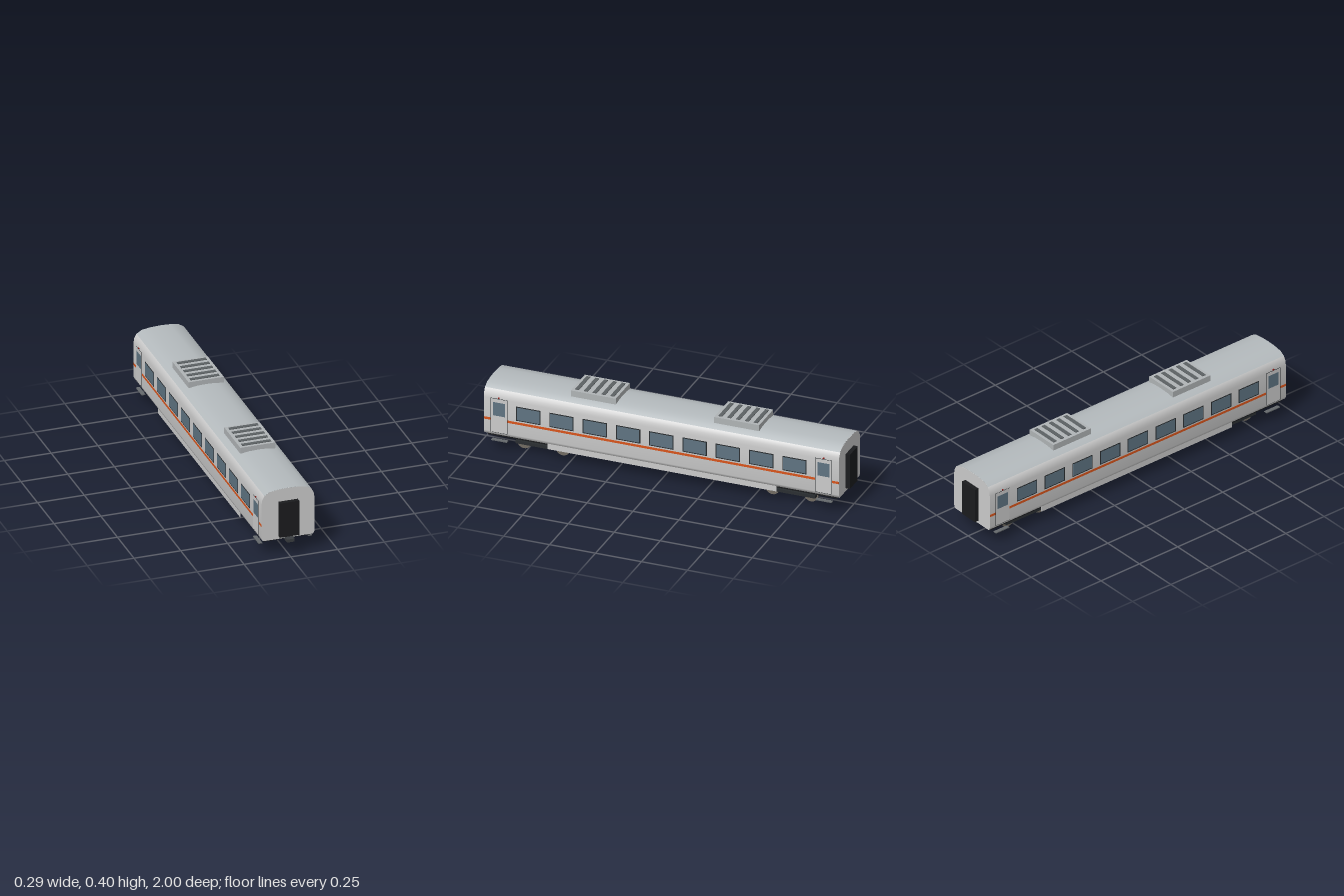
import * as THREE from 'three';
import { toCreasedNormals } from 'three/addons/utils/BufferGeometryUtils.js';

const mat = (color) => new THREE.MeshStandardMaterial({ color, side: THREE.DoubleSide });
const M = {
  body: mat(0xcccccc), roof: mat(0xb4babd), unit: mat(0xb0b4b6), slat: mat(0x5c6164),
  dark: mat(0x1b1c1e), frame: mat(0x2a2e31), steel: mat(0x716b62), coupler: mat(0x3a3d40),
  glass: mat(0x5f7482), stripe: mat(0xd9551c), lamp: mat(0x8c1a16), step: mat(0x666a6d),
};
const MID = -0.009, LENGTH = 1.932, SIDE = 0.142;

function add(parent, name, geometry, material, x = 0, y = 0, z = 0) {
  const mesh = new THREE.Mesh(geometry, material);
  mesh.name = name;
  mesh.position.set(x, y, z);
  parent.add(mesh);
  return mesh;
}

// Box given by its centre and size
function box(parent, name, material, [x, y, z], [w, h, d]) {
  return add(parent, name, new THREE.BoxGeometry(w, h, d), material, x, y, z);
}

// Right half of a section mirrored and extruded along the car
function extrude(half, length) {
  const pts = half.concat(half.slice().reverse().filter(p => p[0] > 0).map(([x, y]) => [-x, y]));
  const shape = new THREE.Shape(pts.map(p => new THREE.Vector2(...p)));
  const geo = new THREE.ExtrudeGeometry(shape, { depth: length, bevelEnabled: false });
  geo.translate(0, 0, MID - length / 2);
  return toCreasedNormals(geo, 0.6);
}

function bogie(z) {
  const g = new THREE.Group();
  g.name = 'bogie';
  g.position.z = z;
  box(g, 'bolster', M.frame, [0, 0.065, 0], [0.16, 0.03, 0.25]);
  box(g, 'crossBeam', M.frame, [0, 0.05, 0], [0.13, 0.03, 0.06]);
  for (const s of [-1, 1]) {
    box(g, 'sideFrame', M.frame, [s * 0.077, 0.0435, 0], [0.022, 0.017, 0.28]);
    const axle = add(g, 'axle', new THREE.CylinderGeometry(0.007, 0.007, 0.15, 12), M.steel, 0, 0.039, s * 0.105);
    axle.rotation.z = Math.PI / 2;
    for (const side of [-1, 1]) {
      // tread with a wider flange on the inner face
      const tread = add(g, 'wheel', new THREE.CylinderGeometry(0.039, 0.039, 0.009, 28), M.steel, side * 0.055, 0.039, s * 0.105);
      tread.rotation.z = Math.PI / 2;
      box(g, 'axleBox', M.frame, [side * 0.068, 0.039, s * 0.105], [0.012, 0.02, 0.03]);
    }
  }
  return g;
}

function roofUnit(z) {
  const g = new THREE.Group();
  g.name = 'roofUnit';
  g.position.z = z;
  box(g, 'housing', M.unit, [0, 0.377, 0], [0.188, 0.036, 0.245]);
  for (let i = -2; i <= 2; i++) box(g, 'ventSlat', M.slat, [0, 0.396, i * 0.048], [0.154, 0.005, 0.02]);
  return g;
}

// One entrance on side s, with its step and lamp
function entrance(s, z) {
  const g = new THREE.Group();
  g.name = 'entrance';
  g.position.z = z;
  box(g, 'doorSeal', M.frame, [s * SIDE, 0.201, 0], [0.001, 0.192, 0.092]);
  box(g, 'door', M.body, [s * SIDE, 0.201, 0], [0.002, 0.188, 0.087]);
  box(g, 'doorWindow', M.glass, [s * SIDE, 0.238, 0], [0.003, 0.075, 0.066]);
  box(g, 'doorLamp', M.lamp, [s * 0.144, 0.303, 0], [0.005, 0.006, 0.007]);
  box(g, 'step', M.step, [s * 0.133, 0.06, 0], [0.02, 0.005, 0.086]);
  return g;
}

export function createModel() {
  const car = new THREE.Group();
  car.name = 'passengerCar';

  // Body shell and roof skin
  add(car, 'body', extrude([
    [0, 0.09], [0.132, 0.09], [0.139, 0.097], [SIDE - 0.0005, 0.108], [SIDE - 0.0005, 0.295],
    [0.138, 0.32], [0.126, 0.343], [0.098, 0.36], [0.05, 0.367], [0, 0.369],
  ], LENGTH), M.body);
  add(car, 'roof', extrude([
    [0, 0.355], [0.097, 0.348], [0.1265, 0.3435], [0.0985, 0.361], [0.05, 0.3682], [0, 0.3702],
  ], LENGTH - 0.002), M.roof);

  // Underframe and side skirts
  box(car, 'underframe', M.dark, [0, 0.085, MID], [0.25, 0.012, 1.9]);
  for (const s of [-1, 1]) {
    box(car, 'skirt', M.body, [s * 0.132, 0.077, MID], [0.002, 0.034, 1.245]);

    // Waist stripe and row of windows
    box(car, 'stripe', M.stripe, [s * SIDE, 0.178, MID], [0.0008, 0.013, LENGTH - 0.002]);
    for (let i = -4; i <= 4; i++) {
      const z = MID + i * 0.181;
      box(car, 'windowFrame', M.frame, [s * SIDE, 0.233, z], [0.002, 0.08, 0.132]);
      box(car, 'window', M.glass, [s * SIDE, 0.233, z], [0.003, 0.07, 0.122]);
    }
    for (const e of [-1, 1]) car.add(entrance(s, MID + e * 0.883));
  }

  // Gangways at both ends, coupler at the front
  for (const e of [-1, 1]) {
    box(car, 'gangway', M.dark, [0, 0.203, MID + e * 0.976], [0.104, 0.193, 0.026]);
  }
  box(car, 'coupler', M.coupler, [0, 0.092, 0.965], [0.04, 0.017, 0.07]);

  for (const e of [-1, 1]) {
    car.add(bogie(MID + e * 0.675));
    car.add(roofUnit(MID + e * 0.39));
  }
  return car;
}
